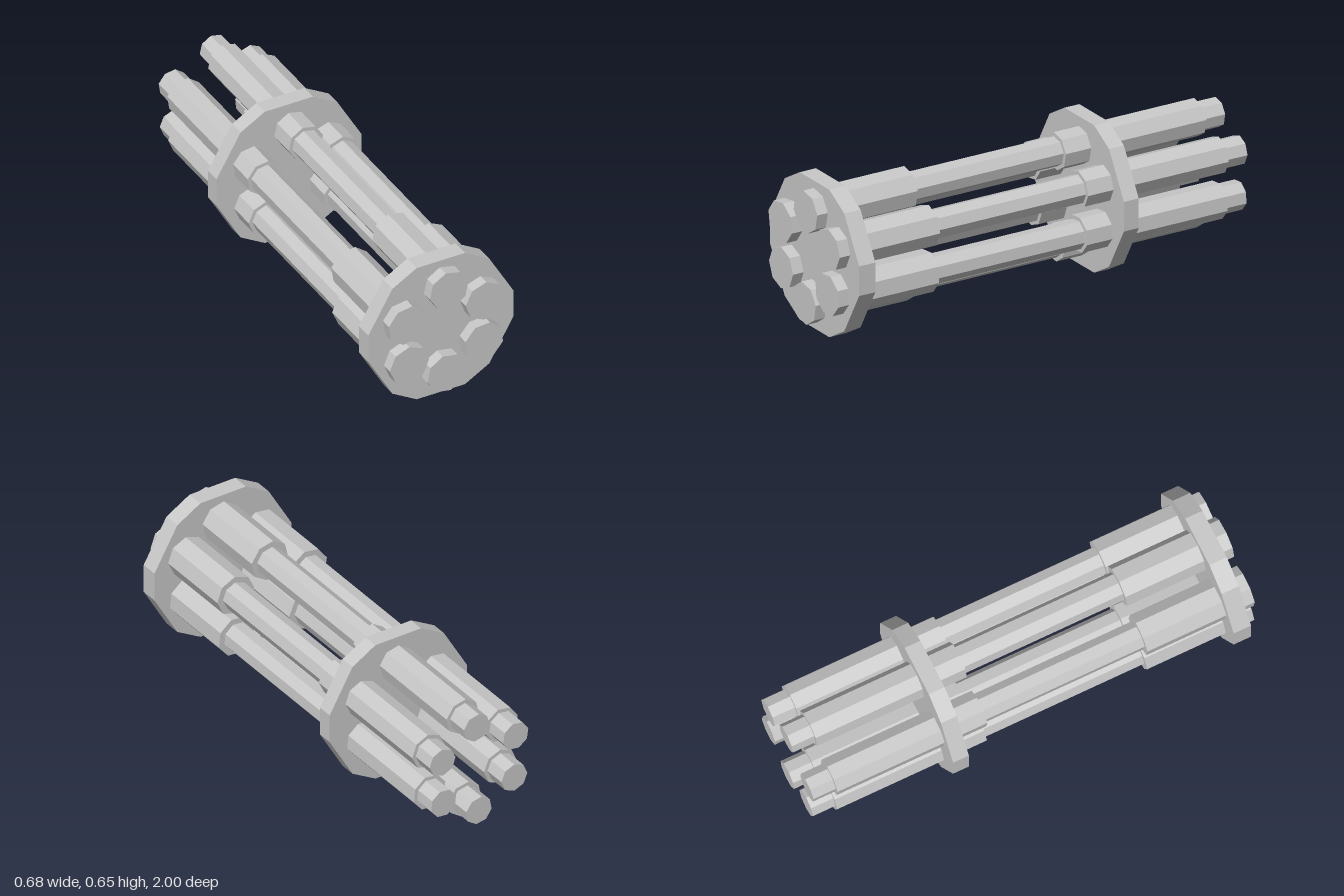
import * as THREE from 'three';

const gray = new THREE.MeshStandardMaterial({ color: 0xc8c8c8, flatShading: true });
gray.name = 'light steel gray';

const CY = 0.327; // height of the cluster axis

// x, y and facet rotation (degrees) of each barrel
const BARRELS = [
  [0.011, 0.531, 10],
  [0.18, 0.423, 42],
  [0.175, 0.222, 28],
  [0, 0.123, 12],
  [-0.175, 0.22, 0],
  [-0.182, 0.421, 31],
];

// Octagonal prism along z from z0 to z1
function prism(name, radius, z0, z1, turn) {
  const geo = new THREE.CylinderGeometry(radius, radius, z1 - z0, 8);
  geo.rotateX(Math.PI / 2).rotateZ(THREE.MathUtils.degToRad(turn));
  geo.translate(0, 0, (z0 + z1) / 2);
  const mesh = new THREE.Mesh(geo, gray);
  mesh.name = name;
  return mesh;
}

// Clamp plate: twelve sides, alternating long and short
function clampPlate(name, z0, z1) {
  const points = [];
  for (let i = 0; i < 6; i++) {
    for (const offset of [-19.05, 19.05]) {
      const a = THREE.MathUtils.degToRad(90 + i * 60 + offset);
      points.push(new THREE.Vector2(Math.cos(a), Math.sin(a)).multiplyScalar(0.3455));
    }
  }
  const geo = new THREE.ExtrudeGeometry(new THREE.Shape(points), { depth: z1 - z0, bevelEnabled: false });
  const mesh = new THREE.Mesh(geo, gray);
  mesh.name = name;
  mesh.position.set(0, CY, z0);
  return mesh;
}

export function createModel() {
  const model = new THREE.Group();
  model.name = 'rotaryBarrelCluster';

  // Barrels: a thin rod with a thick sleeve at the front and at the rear
  BARRELS.forEach(([x, y, turn], i) => {
    const barrel = new THREE.Group();
    barrel.name = `barrel${i + 1}`;
    barrel.position.set(x, y, 0);
    barrel.add(
      prism('rod', 0.064, -1, 0.52, turn),
      prism('frontSleeve', 0.0915, 0.511, 1, turn),
      prism('rearSleeve', 0.081, -0.898, -0.215, turn),
    );
    model.add(barrel);
  });

  // Plates that hold the barrels together
  model.add(clampPlate('frontPlate', 0.87, 0.949), clampPlate('rearPlate', -0.41, -0.338));
  return model;
}
